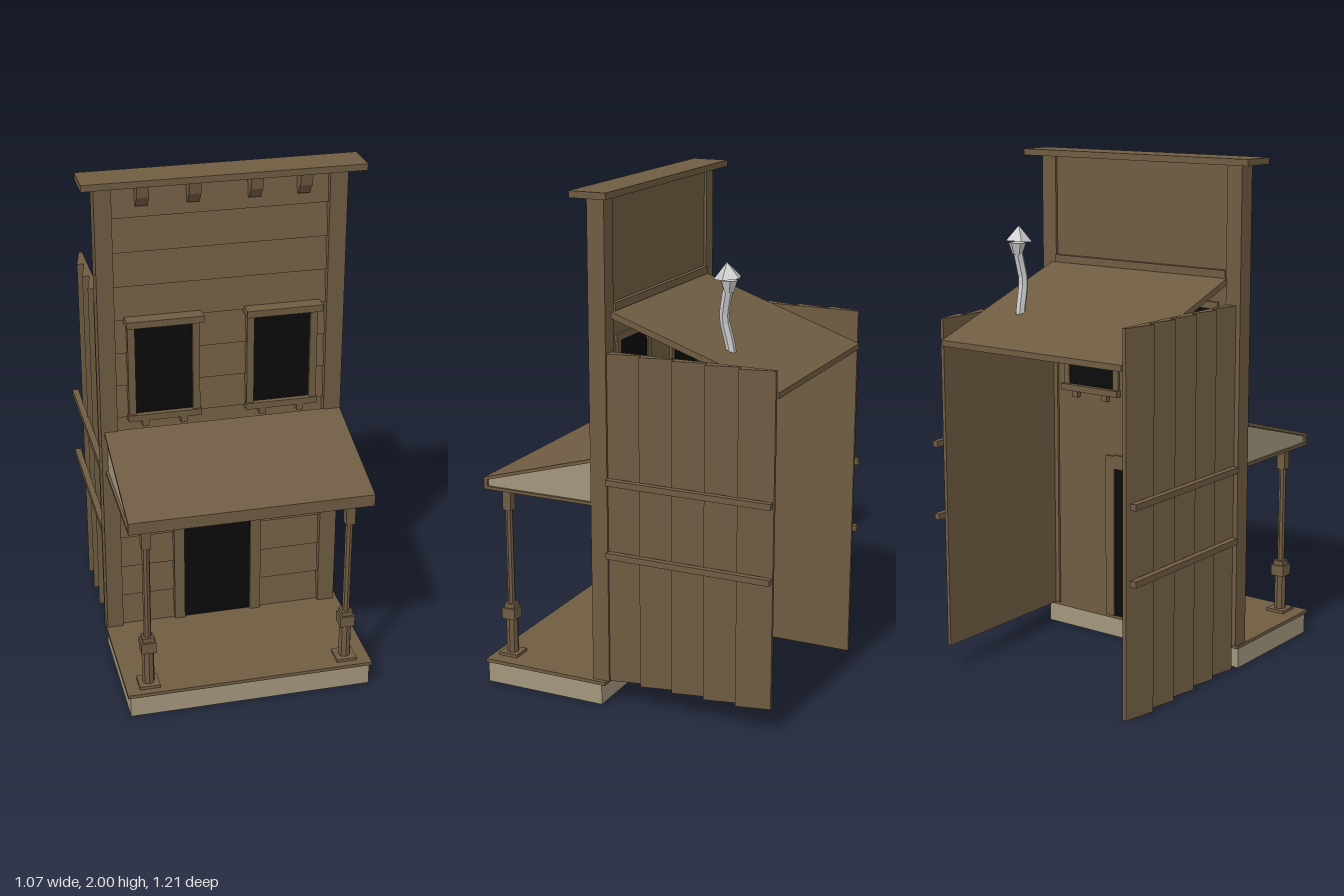
import * as THREE from 'three';

const paint = (color) => new THREE.MeshStandardMaterial({ color, flatShading: true, side: THREE.DoubleSide });

export function createModel() {
  const model = new THREE.Group();
  const wood = paint(0x6f5c42), pale = paint(0xa3967c), dark = paint(0x0b0b0b), metal = paint(0xcccccc);

  const add = (name, geometry, material = wood, parent = model) => {
    const mesh = new THREE.Mesh(geometry, material);
    mesh.name = name;
    parent.add(mesh);
    return mesh;
  };
  const group = (name) => {
    const g = new THREE.Group();
    g.name = name;
    model.add(g);
    return g;
  };
  // Box given by its limits on each axis
  const box = (name, x0, x1, y0, y1, z0, z1, material, parent) => add(name,
    new THREE.BoxGeometry(x1 - x0, y1 - y0, z1 - z0)
      .translate((x0 + x1) / 2, (y0 + y1) / 2, (z0 + z1) / 2), material, parent);
  const extrude = (points, depth) => new THREE.ExtrudeGeometry(
    new THREE.Shape(points.map(([a, b]) => new THREE.Vector2(a, b))), { depth, bevelEnabled: false });
  // Profile in (z, y) swept from x0 to x1
  const sweepX = (points, x0, x1) => extrude(points, x1 - x0).rotateY(-Math.PI / 2).translate(x1, 0, 0);
  // Profile in (x, z) swept from y0 to y1
  const sweepY = (points, y0, y1) => extrude(points, y1 - y0).rotateX(Math.PI / 2).translate(0, y1, 0);

  // Porch base and deck
  box('porchBase', -0.48, 0.475, 0, 0.088, 0.09, 0.6, pale);
  box('porchDeck', -0.49, 0.485, 0.086, 0.1, 0.07, 0.605);

  // False front: backing, corner posts and lapped boards
  const facade = group('facade');
  box('facadeBacking', -0.43, 0.41, 0.1, 1.98, 0.07, 0.085, wood, facade);
  box('cornerPostRight', -0.485, -0.42, 0.1, 1.98, 0.06, 0.13, wood, facade);
  box('cornerPostLeft', 0.4, 0.468, 0.1, 1.98, 0.06, 0.13, wood, facade);
  const course = 0.1343;
  for (let i = 0; i < 14; i++) {
    const y = 0.1 + i * course;
    add('lapBoard', sweepX([[0.08, y], [0.113, y], [0.092, y + course], [0.08, y + course]], -0.42, 0.4), wood, facade);
  }
  box('roofFlashing', -0.42, 0.4, 1.55, 1.58, 0.052, 0.075, wood, facade);

  // Cornice and its brackets
  box('cornice', -0.535, 0.53, 1.975, 2, 0.02, 0.168, wood, facade);
  for (const x of [-0.308, -0.115, 0.116, 0.303]) {
    add('corniceBracket', sweepX([[0.09, 1.975], [0.155, 1.975], [0.148, 1.93], [0.115, 1.888], [0.09, 1.888]],
      x - 0.023, x + 0.023), wood, facade);
  }

  // Upper windows
  for (const x of [-0.235, 0.227]) {
    const win = group('window');
    box('windowPane', x - 0.115, x + 0.115, 1.05, 1.43, 0.066, 0.117, dark, win);
    for (const s of [-1, 1]) {
      box('windowJamb', x + s * 0.125 - 0.014, x + s * 0.125 + 0.014, 1.03, 1.43, 0.06, 0.13, wood, win);
      box('sillBracket', x + s * 0.075 - 0.013, x + s * 0.075 + 0.013, 1.003, 1.03, 0.05, 0.135, wood, win);
    }
    box('windowHead', x - 0.148, x + 0.148, 1.428, 1.455, 0.06, 0.168, wood, win);
    box('windowSill', x - 0.143, x + 0.143, 1.028, 1.054, 0.045, 0.138, wood, win);
  }

  // Doorway
  const door = group('doorway');
  box('doorOpening', -0.165, 0.112, 0.1, 0.73, 0.066, 0.117, dark, door);
  box('doorJambRight', -0.205, -0.163, 0.1, 0.78, 0.06, 0.128, wood, door);
  box('doorJambLeft', 0.11, 0.153, 0.1, 0.78, 0.06, 0.128, wood, door);
  box('doorHead', -0.165, 0.112, 0.727, 0.785, 0.06, 0.132, wood, door);

  // Porch awning: pale wedge under a sloping board, with an edge frame
  const awning = group('awning');
  add('awningGable', sweepX([[0.12, 0.815], [0.59, 0.815], [0.59, 0.845], [0.12, 0.978]], -0.462, 0.457), pale, awning);
  add('awningRoof', sweepX([[0.125, 0.978], [0.6, 0.843], [0.6, 0.856], [0.125, 0.992]], -0.472, 0.467), wood, awning);
  box('awningFascia', -0.472, 0.467, 0.808, 0.85, 0.585, 0.6, wood, awning);
  box('awningSoffit', -0.472, 0.467, 0.808, 0.82, 0.125, 0.59, wood, awning);

  // Turned porch posts
  for (const x of [-0.398, 0.39]) {
    const post = group('porchPost');
    const turned = (name, r, y0, y1) => add(name,
      new THREE.CylinderGeometry(r, r, y1 - y0, 8).translate(x, (y0 + y1) / 2, 0.537), wood, post);
    const block = (name, h, y0, y1) => box(name, x - h, x + h, y0, y1, 0.537 - h, 0.537 + h, wood, post);
    block('postFoot', 0.04, 0.1, 0.112);
    turned('postLower', 0.024, 0.11, 0.255);
    block('postBlock', 0.029, 0.255, 0.3);
    block('postBlockTop', 0.022, 0.3, 0.318);
    turned('postShaft', 0.015, 0.315, 0.715);
    block('postCapital', 0.018, 0.71, 0.81);
  }

  // Side walls of overlapping vertical planks tied by two rails
  const walls = [
    { name: 'leftWall', side: 1, y0: 0.1, y1: 1.4, rails: [0.62, 0.91] },
    { name: 'rightWall', side: -1, y0: 0, y1: 1.45, rails: [0.53, 0.815] },
  ];
  for (const { name, side, y0, y1, rails } of walls) {
    const wall = group(name);
    const shift = side < 0 ? 0.007 : 0;
    const at = (x) => side * (x + shift);
    for (let i = 0; i < 5; i++) {
      const front = 0.062 - i * 0.132, back = front - 0.132;
      add('wallPlank', sweepY([[at(0.418), front], [at(0.46), front], [at(0.432), back], [at(0.418), back]], y0, y1), wood, wall);
    }
    for (const y of rails) {
      const a = at(0.456), b = at(0.481);
      box('wallRail', Math.min(a, b), Math.max(a, b), y - 0.012, y + 0.012, -0.604, 0.062, wood, wall);
    }
  }

  // Lean-to roof
  add('mainRoof', sweepX([[0.075, 1.53], [0.075, 1.555], [-0.606, 1.32], [-0.606, 1.297]], -0.424, 0.42));

  // Crooked stovepipe with a tilted cap
  const pipe = group('stovepipe');
  const path = new THREE.CatmullRomCurve3([
    [0.25, 1.37, -0.352], [0.25, 1.44, -0.34], [0.255, 1.53, -0.32], [0.262, 1.6, -0.33], [0.265, 1.65, -0.34],
  ].map((p) => new THREE.Vector3(...p)));
  add('pipe', new THREE.TubeGeometry(path, 8, 0.019, 6), metal, pipe);
  const collar = add('pipeCollar', new THREE.CylinderGeometry(0.034, 0.019, 0.045, 6, 1), metal, pipe);
  collar.position.set(0.265, 1.652, -0.341);
  const cap = add('pipeCap', new THREE.ConeGeometry(0.054, 0.06, 5), metal, pipe);
  cap.position.set(0.264, 1.71, -0.335);
  cap.rotation.set(0.1, 1.57, 0);

  return model;
}
